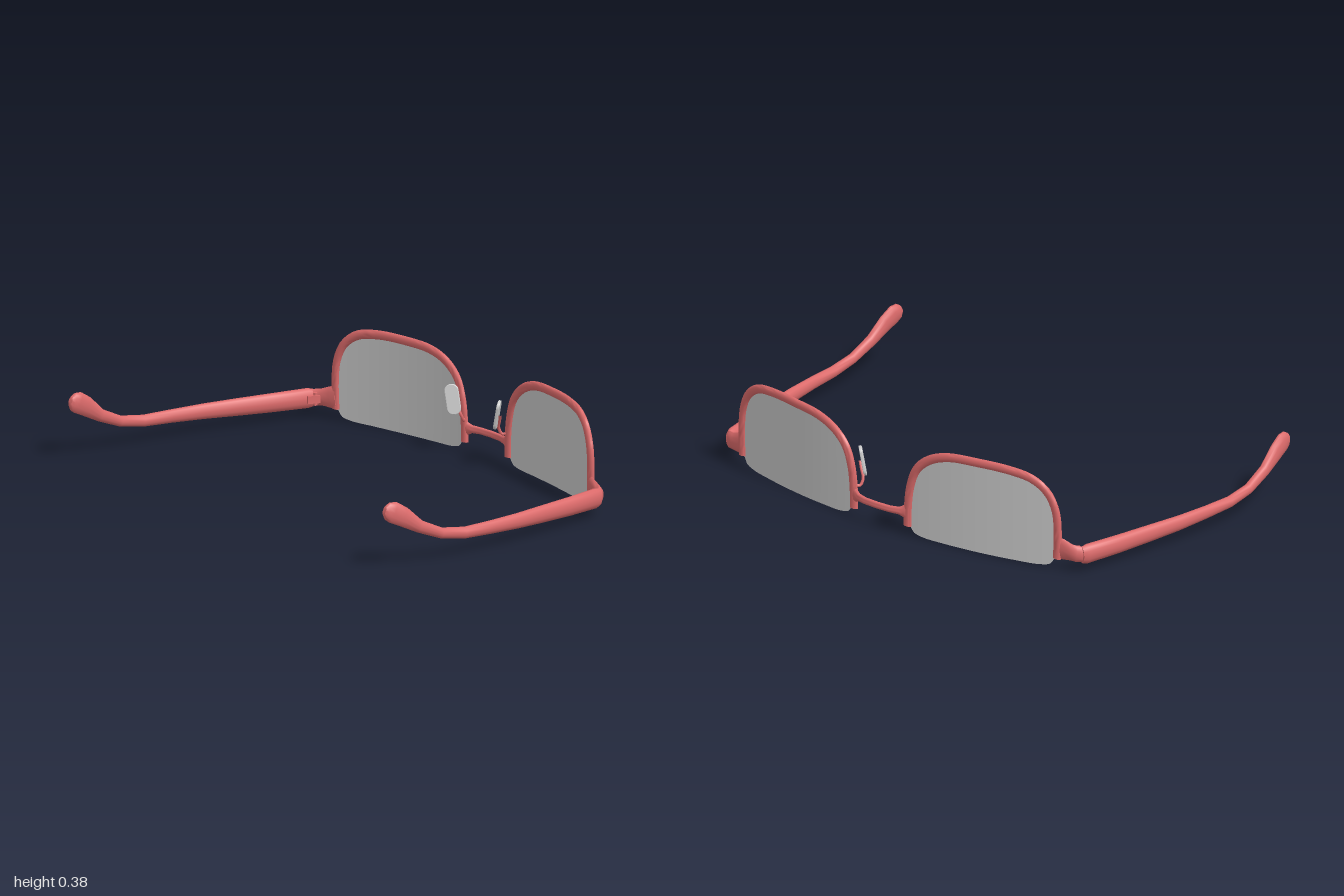
import * as THREE from 'three';
import { toCreasedNormals } from 'three/addons/utils/BufferGeometryUtils.js';

const V = (x, y, z) => new THREE.Vector3(x, y, z);
const X = V(1, 0, 0), Y = V(0, 1, 0), Z = V(0, 0, 1);

// Face curve of the front: depth at a given x
const bend = (x) => -0.61 + 0.19 * x * x;

// Loft of elliptical rings; rows are [x, y, z, a, b], a = half size along ref
function loft(rows, ref, sides = 12) {
  const c = rows.map((r) => V(r[0], r[1], r[2]));
  const pos = [], index = [], last = rows.length - 1;
  rows.forEach(([, , , a, b], i) => {
    const t = c[Math.min(i + 1, last)].clone().sub(c[Math.max(i - 1, 0)]).normalize();
    const side = ref.clone().addScaledVector(t, -ref.dot(t)).normalize();
    const up = t.clone().cross(side);
    for (let j = 0; j < sides; j++) {
      const q = (j / sides) * Math.PI * 2;
      const p = c[i].clone().addScaledVector(side, a * Math.cos(q)).addScaledVector(up, b * Math.sin(q));
      pos.push(p.x, p.y, p.z);
    }
  });
  const start = pos.length / 3;
  pos.push(...c[0].toArray(), ...c[last].toArray());
  for (let j = 0; j < sides; j++) {
    const k = (j + 1) % sides;
    for (let i = 0; i < last; i++) {
      const p = i * sides, n = p + sides;
      index.push(p + j, p + k, n + k, p + j, n + k, n + j);
    }
    index.push(start, k, j, start + 1, last * sides + j, last * sides + k);
  }
  const g = new THREE.BufferGeometry();
  g.setAttribute('position', new THREE.Float32BufferAttribute(pos, 3));
  g.setIndex(index);
  return toCreasedNormals(g, 0.9);
}

const spline = (pts) => new THREE.CatmullRomCurve3(pts.map(([x, y]) => V(x, y, 0)), false, 'centripetal');

// Rim centre line (outer end to inner end) and lower lens edge
const rimCurve = spline([[0.777, 0.04], [0.78, 0.14], [0.772, 0.23], [0.74, 0.3], [0.68, 0.345], [0.59, 0.363],
  [0.45, 0.366], [0.32, 0.358], [0.235, 0.328], [0.175, 0.275], [0.146, 0.2], [0.135, 0.12], [0.133, 0.035]]);
const lensSide = spline([[0.764, 0.035], [0.752, 0.015], [0.71, 0.004], [0.6, 0.001], [0.46, 0],
  [0.3, 0.001], [0.2, 0.004], [0.16, 0.015], [0.148, 0.035]]);

export function createModel() {
  const root = new THREE.Group();
  root.name = 'glasses';
  const red = new THREE.MeshStandardMaterial({ color: 0xdd6b6b });
  const grey = new THREE.MeshStandardMaterial({ color: 0xcccccc });
  const lensGrey = new THREE.MeshStandardMaterial({ color: 0xcccccc, side: THREE.DoubleSide });
  const add = (name, geometry, material = red) => {
    const m = new THREE.Mesh(geometry, material);
    m.name = name;
    root.add(m);
    return m;
  };

  for (const s of [1, -1]) {
    const tag = s > 0 ? 'left' : 'right';
    const flip = (rows) => rows.map(([x, ...rest]) => [s * x, ...rest]);

    // Half rim following the curve of the face
    const rim = rimCurve.getSpacedPoints(48).map((p) => [p.x, p.y, bend(p.x), 0.011, 0.018]);
    add(tag + 'Rim', loft(flip(rim), Z));

    // Lens: sheet stretched between the rim and the free lower edge
    const lens = new THREE.PlaneGeometry(1, 1, 48, 8);
    const p = lens.attributes.position;
    for (let i = 0; i < p.count; i++) {
      const t = p.getX(i) + 0.5;
      const top = rimCurve.getPointAt(t), low = lensSide.getPointAt(t);
      const q = low.lerp(top, p.getY(i) + 0.5);
      p.setXYZ(i, s * q.x, q.y, bend(q.x));
    }
    lens.computeVertexNormals();
    add(tag + 'Lens', lens, lensGrey);

    // End piece flaring from the rim to the hinge
    add(tag + 'EndPiece', loft(flip([
      [0.772, 0.083, -0.494, 0.048, 0.011], [0.8, 0.081, -0.487, 0.042, 0.012],
      [0.835, 0.075, -0.48, 0.034, 0.016], [0.858, 0.072, -0.472, 0.033, 0.018],
      [0.872, 0.07, -0.456, 0.031, 0.014]]), Y));

    // Hinge block and pin on the inside of the corner
    const block = add(tag + 'Hinge', new THREE.BoxGeometry(0.022, 0.03, 0.05));
    block.position.set(s * 0.85, 0.07, -0.445);
    block.rotation.y = s * 0.35;
    add(tag + 'HingePin', new THREE.CylinderGeometry(0.008, 0.008, 0.05, 10))
      .position.set(s * 0.848, 0.07, -0.453);

    // Temple arm with the raised, thickened tip
    add(tag + 'Temple', loft(flip([
      [0.872, 0.068, -0.462, 0.016, 0.034], [0.878, 0.069, -0.44, 0.023, 0.039],
      [0.908, 0.07, -0.29, 0.023, 0.037], [0.935, 0.073, -0.14, 0.021, 0.034],
      [0.959, 0.076, 0.0, 0.02, 0.03], [0.973, 0.079, 0.14, 0.019, 0.026],
      [0.98, 0.082, 0.27, 0.018, 0.023], [0.98, 0.1, 0.38, 0.018, 0.021],
      [0.974, 0.142, 0.48, 0.018, 0.025], [0.967, 0.192, 0.555, 0.018, 0.039],
      [0.962, 0.215, 0.598, 0.018, 0.042], [0.959, 0.223, 0.622, 0.016, 0.034],
      [0.958, 0.228, 0.635, 0.01, 0.018]]), X, 14));

    // Nose pad, leaning outward and opening toward the back
    const pad = new THREE.Group();
    pad.name = tag + 'NosePad';
    const outline = new THREE.Shape();
    outline.absellipse(0, 0.034, 0.024, 0.022, 0, Math.PI);
    outline.absellipse(0, -0.034, 0.024, 0.022, Math.PI, Math.PI * 2);
    const plate = new THREE.Mesh(
      new THREE.ExtrudeGeometry(outline, { depth: 0.006, bevelSize: 0.003, bevelThickness: 0.003, bevelSegments: 2 }).translate(0, 0, -0.003), grey);
    plate.name = tag + 'PadPlate';
    pad.add(plate);
    pad.position.set(s * 0.136, 0.21, -0.552);
    pad.rotation.set(0, -s * 0.85, -s * 0.24, 'ZYX');
    root.add(pad);

    // Wire carrying the pad
    const wire = new THREE.CatmullRomCurve3([V(s * 0.135, 0.13, -0.606), V(s * 0.118, 0.125, -0.59),
      V(s * 0.115, 0.15, -0.575), V(s * 0.13, 0.185, -0.568), V(s * 0.143, 0.21, -0.56)]);
    add(tag + 'PadWire', new THREE.TubeGeometry(wire, 20, 0.006, 8));
  }

  // Bridge arching forward between the rims
  const half = [[0.138, 0.09, -0.606, 0.05, 0.01], [0.118, 0.09, -0.61, 0.026, 0.01],
    [0.1, 0.09, -0.617, 0.016, 0.01], [0.06, 0.09, -0.627, 0.014, 0.01]];
  const mirrored = half.map(([x, ...r]) => [-x, ...r]).reverse();
  add('bridge', loft([...half, [0, 0.09, -0.63, 0.014, 0.01], ...mirrored], Y));
  return root;
}
